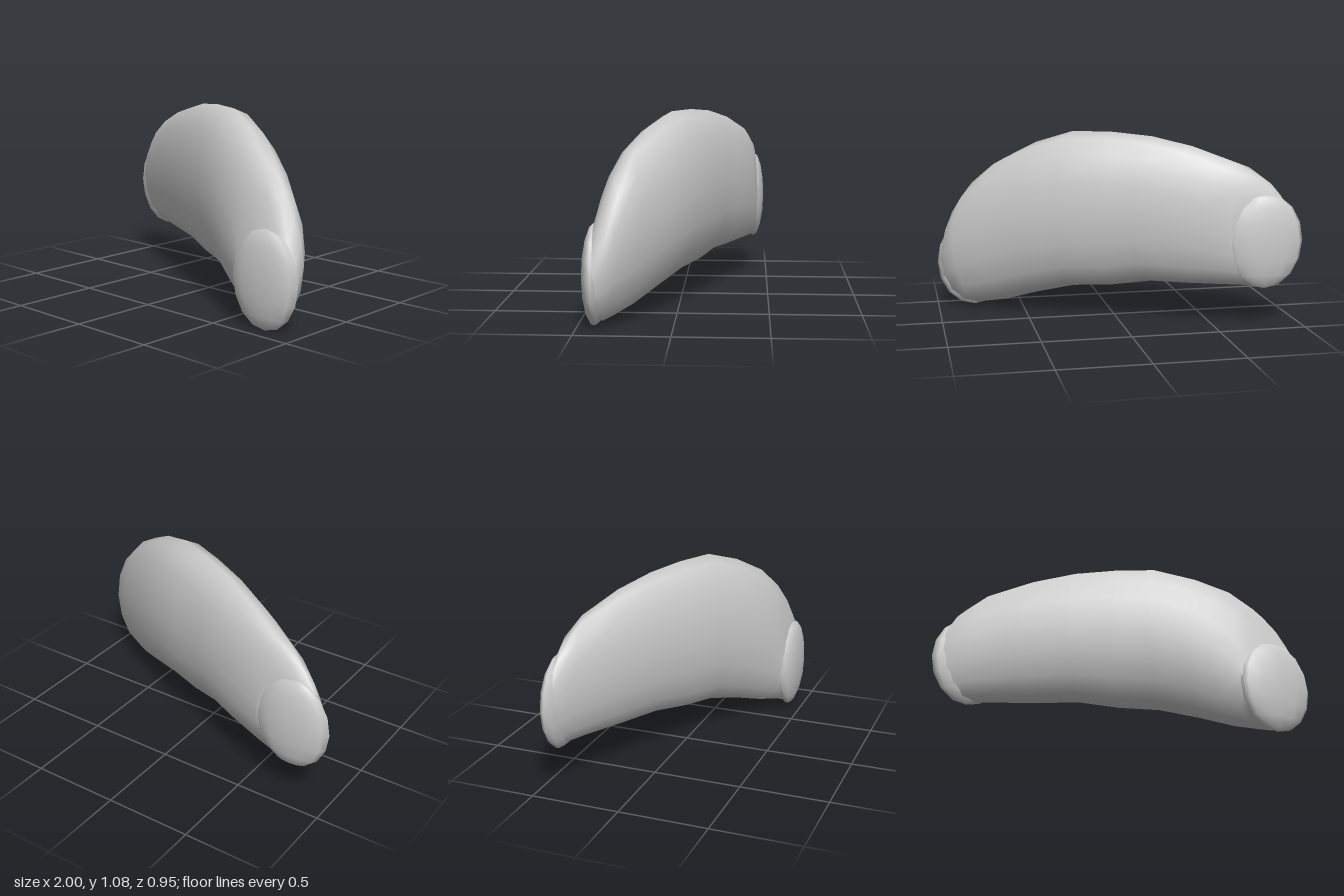
import * as THREE from 'three';

const material = new THREE.MeshStandardMaterial({ color: 0xcccccc });

// Loft through upright elliptical rings: [frontX, frontZ, backX, backZ, bottomY, topY]
function loft(stations, sides) {
  const positions = [], index = [];
  for (const [fx, fz, bx, bz, y0, y1] of stations) {
    for (let j = 0; j < sides; j++) {
      const t = (j / sides) * Math.PI * 2, c = Math.cos(t) / 2, s = Math.sin(t) / 2;
      positions.push(
        (fx + bx) / 2 + c * (bx - fx),
        (y0 + y1) / 2 + s * (y1 - y0),
        (fz + bz) / 2 + c * (bz - fz));
    }
  }
  for (let i = 0; i < stations.length - 1; i++) {
    for (let j = 0; j < sides; j++) {
      const a = i * sides + j, b = i * sides + (j + 1) % sides;
      index.push(a, b, a + sides, b, b + sides, a + sides);
    }
  }
  const geometry = new THREE.BufferGeometry();
  geometry.setAttribute('position', new THREE.Float32BufferAttribute(positions, 3));
  geometry.setIndex(index);
  geometry.computeVertexNormals();
  return geometry;
}

export function createModel() {
  const group = new THREE.Group();
  group.name = 'curvedPad';

  // Arched body, turning from one end disc to the other
  const body = new THREE.Mesh(loft([
    [-0.985, -0.41, -0.58, -0.44, 0.23, 0.73],
    [-0.93, -0.365, -0.56, -0.44, 0.23, 0.83],
    [-0.83, -0.30, -0.43, -0.41, 0.23, 0.92],
    [-0.58, -0.155, -0.22, -0.34, 0.225, 1.01],
    [-0.33, -0.02, -0.05, -0.27, 0.225, 1.06],
    [-0.09, 0.105, 0.13, -0.205, 0.19, 1.08],
    [0.10, 0.20, 0.36, -0.11, 0.175, 1.08],
    [0.27, 0.285, 0.59, 0.02, 0.12, 1.01],
    [0.41, 0.35, 0.79, 0.16, 0.06, 0.91],
    [0.51, 0.39, 0.92, 0.26, 0.035, 0.79],
    [0.56, 0.41, 0.97, 0.33, 0.02, 0.68],
    [0.58, 0.42, 0.985, 0.40, 0.02, 0.54],
  ], 16), material);
  body.name = 'body';
  group.add(body);

  // Flattened rounded discs closing both ends
  for (const [name, x, y, z] of [['leftEnd', 0.78, 0.27, 0.41], ['rightEnd', -0.78, 0.485, -0.415]]) {
    const end = new THREE.Mesh(new THREE.SphereGeometry(1, 12, 8), material);
    end.name = name;
    end.scale.set(0.22, 0.27, 0.065);
    end.position.set(x, y, z);
    group.add(end);
  }
  return group;
}
